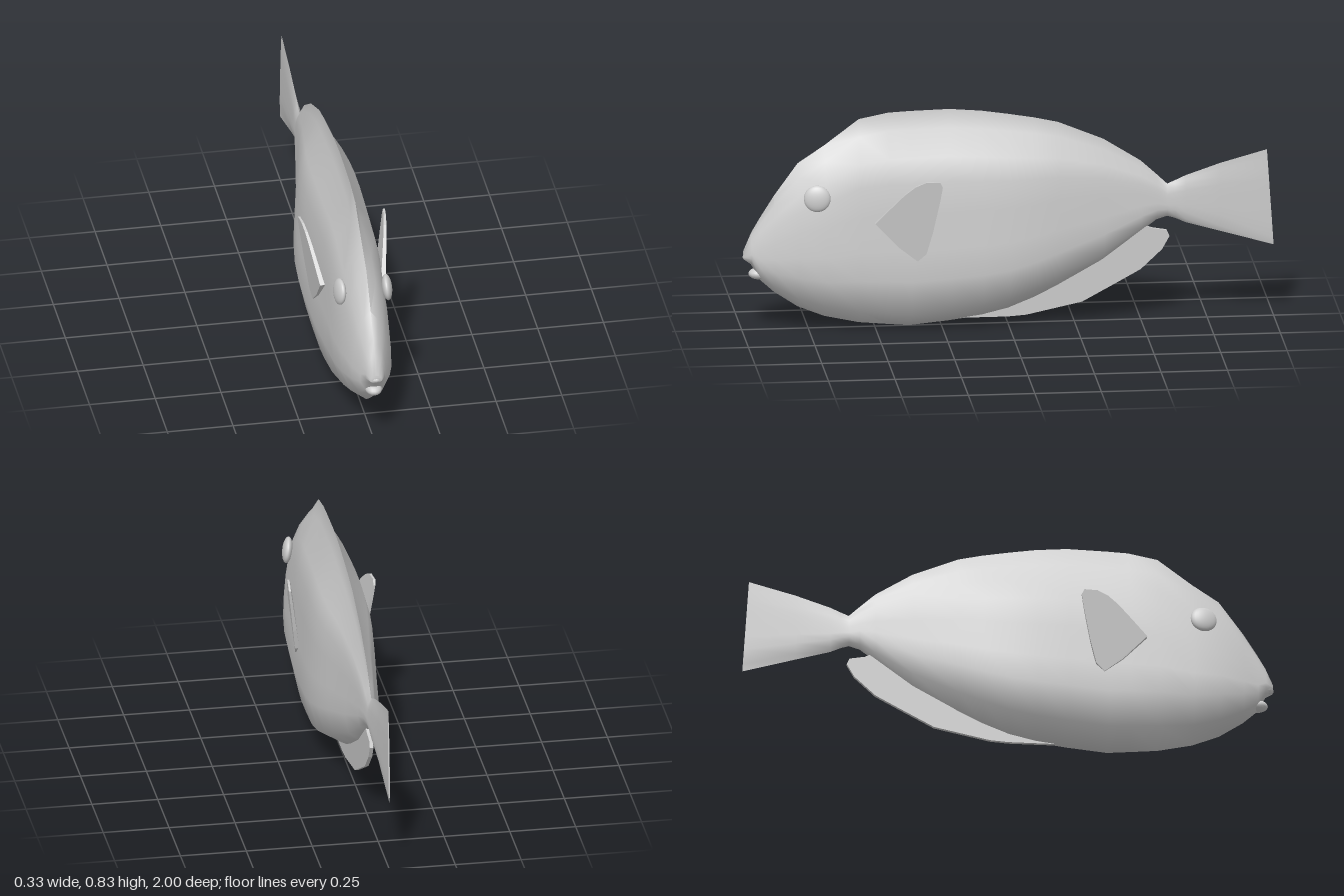
import * as THREE from 'three';
import { toCreasedNormals } from 'three/addons/utils/BufferGeometryUtils.js';

const material = new THREE.MeshStandardMaterial({ color: 0xcccccc });

function addMesh(parent, name, geometry) {
  const mesh = new THREE.Mesh(geometry, material);
  mesh.name = name;
  parent.add(mesh);
  return mesh;
}

// Cross-section from keel to back: [height fraction, width if rounded, width if crested]
const SECTION = [
  [0, 0, 0], [0.08, 0.62, 0.78], [0.24, 1, 1], [0.38, 0.98, 0.93], [0.55, 0.9, 0.86],
  [0.69, 0.78, 0.78], [0.8, 0.64, 0.6], [0.915, 0.36, 0.09], [1, 0, 0],
];

// Stations from mouth to tail: [z, top, bottom, half width, crest amount, rear slant]
const STATIONS = [
  [0.993, 0.312, 0.278, 0.022, 0], [0.965, 0.38, 0.258, 0.036, 0], [0.935, 0.432, 0.2, 0.05, 0],
  [0.88, 0.52, 0.15, 0.072, 0], [0.79, 0.645, 0.09, 0.095, 0], [0.69, 0.712, 0.05, 0.108, 0.1],
  [0.56, 0.81, 0.022, 0.118, 0.8], [0.45, 0.832, 0.012, 0.123, 1], [0.37, 0.836, 0.005, 0.126, 1],
  [0.22, 0.84, 0.02, 0.131, 1], [0.1, 0.83, 0.036, 0.133, 1], [0, 0.815, 0.06, 0.128, 1],
  [-0.1, 0.798, 0.1, 0.115, 1], [-0.19, 0.778, 0.145, 0.096, 1], [-0.36, 0.708, 0.24, 0.058, 1],
  [-0.5, 0.62, 0.345, 0.035, 1], [-0.56, 0.565, 0.39, 0.026, 0.6], [-0.6, 0.527, 0.402, 0.02, 0.2],
  [-0.63, 0.54, 0.393, 0.018, 0.2], [-0.67, 0.558, 0.375, 0.015, 0.3], [-0.8, 0.602, 0.338, 0.009, 0.5],
  [-0.975, 0.65, 0.28, 0.003, 0.5, 0.025],
];

// Body and tail: one loft through closed rings
function bodyGeometry() {
  const last = SECTION.length - 1;
  const n = last * 2;
  const positions = [];
  const index = [];
  for (const [z, top, bottom, width, crest, slant = 0] of STATIONS) {
    for (let k = 0; k < n; k++) {
      const [t, round, sharp] = SECTION[k <= last ? k : n - k];
      const w = width * THREE.MathUtils.lerp(round, sharp, crest);
      positions.push(k <= last ? w : -w, THREE.MathUtils.lerp(bottom, top, t), z - slant * (1 - t));
    }
  }
  for (let s = 0; s < STATIONS.length - 1; s++) {
    for (let k = 0; k < n; k++) {
      const a = s * n + k, b = s * n + (k + 1) % n;
      index.push(a, a + n, b, b, a + n, b + n);
    }
  }
  // Caps at the mouth and tail edge
  const end = (STATIONS.length - 1) * n;
  for (let k = 0; k < last; k++) {
    const m = (n - k) % n, m1 = n - k - 1;
    for (const [base, front] of [[0, true], [end, false]]) {
      const [a, b, c, d] = [base + k, base + k + 1, base + m1, base + m];
      if (front) index.push(a, b, c, a, c, d);
      else index.push(a, c, b, a, d, c);
    }
  }
  const geometry = new THREE.BufferGeometry();
  geometry.setAttribute('position', new THREE.Float32BufferAttribute(positions, 3));
  geometry.setIndex(index);
  return toCreasedNormals(geometry, 1.2);
}

// Thin blade in the side plane from an outline of [z, y] points
function bladeGeometry(outline, thickness) {
  const shape = new THREE.Shape(outline.map(([z, y]) => new THREE.Vector2(z, y)));
  const geometry = new THREE.ExtrudeGeometry(shape, { depth: thickness, bevelEnabled: false });
  return geometry.translate(0, 0, -thickness / 2).rotateY(-Math.PI / 2);
}

const ANAL_FIN = [
  [0.2, 0.03], [0, 0.03], [-0.07, 0.035], [-0.28, 0.08], [-0.4, 0.145], [-0.5, 0.2], [-0.58, 0.275],
  [-0.608, 0.325], [-0.598, 0.348], [-0.54, 0.358], [-0.515, 0.37], [-0.45, 0.34], [-0.2, 0.2], [0.1, 0.1],
];

const PECTORAL_FIN = [
  [0.51, 0.435], [0.46, 0.488], [0.4, 0.55], [0.36, 0.582], [0.32, 0.6], [0.27, 0.6], [0.26, 0.58],
  [0.27, 0.52], [0.295, 0.4], [0.318, 0.315], [0.35, 0.285], [0.42, 0.34],
];

// Pectoral fin: leans outward from its slanted root and thins toward the tip
function pectoralGeometry(side) {
  const geometry = bladeGeometry(PECTORAL_FIN, 0.018);
  const p = geometry.attributes.position;
  for (let i = 0; i < p.count; i++) {
    const reach = (0.51 - p.getZ(i)) * 0.68 + (p.getY(i) - 0.435) * 0.73;
    const thin = 1 - 2 * Math.max(reach, 0);
    p.setX(i, p.getX(i) * thin + side * (0.116 + 0.16 * reach));
  }
  geometry.computeVertexNormals();
  return geometry;
}

export function createModel() {
  const model = new THREE.Group();
  model.name = 'fish';

  addMesh(model, 'bodyAndTail', bodyGeometry());
  addMesh(model, 'analFin', bladeGeometry(ANAL_FIN, 0.014));

  // Lips
  for (const [name, y, z, height] of [['upperLip', 0.287, 0.957, 0.02], ['lowerLip', 0.222, 0.935, 0.022]]) {
    const lip = addMesh(model, name, new THREE.SphereGeometry(1, 16, 10));
    lip.scale.set(0.032, height, 0.04);
    lip.position.set(0, y, z);
  }

  // Eyes and pectoral fins on both sides
  for (const side of [1, -1]) {
    const label = side > 0 ? 'left' : 'right';
    const eye = addMesh(model, label + 'Eye', new THREE.SphereGeometry(0.05, 24, 16));
    eye.scale.x = 0.38;
    eye.position.set(side * 0.09, 0.53, 0.725);
    eye.rotation.set(0, -side * 0.15, side * 0.12);
    addMesh(model, label + 'PectoralFin', pectoralGeometry(side));
  }
  return model;
}
